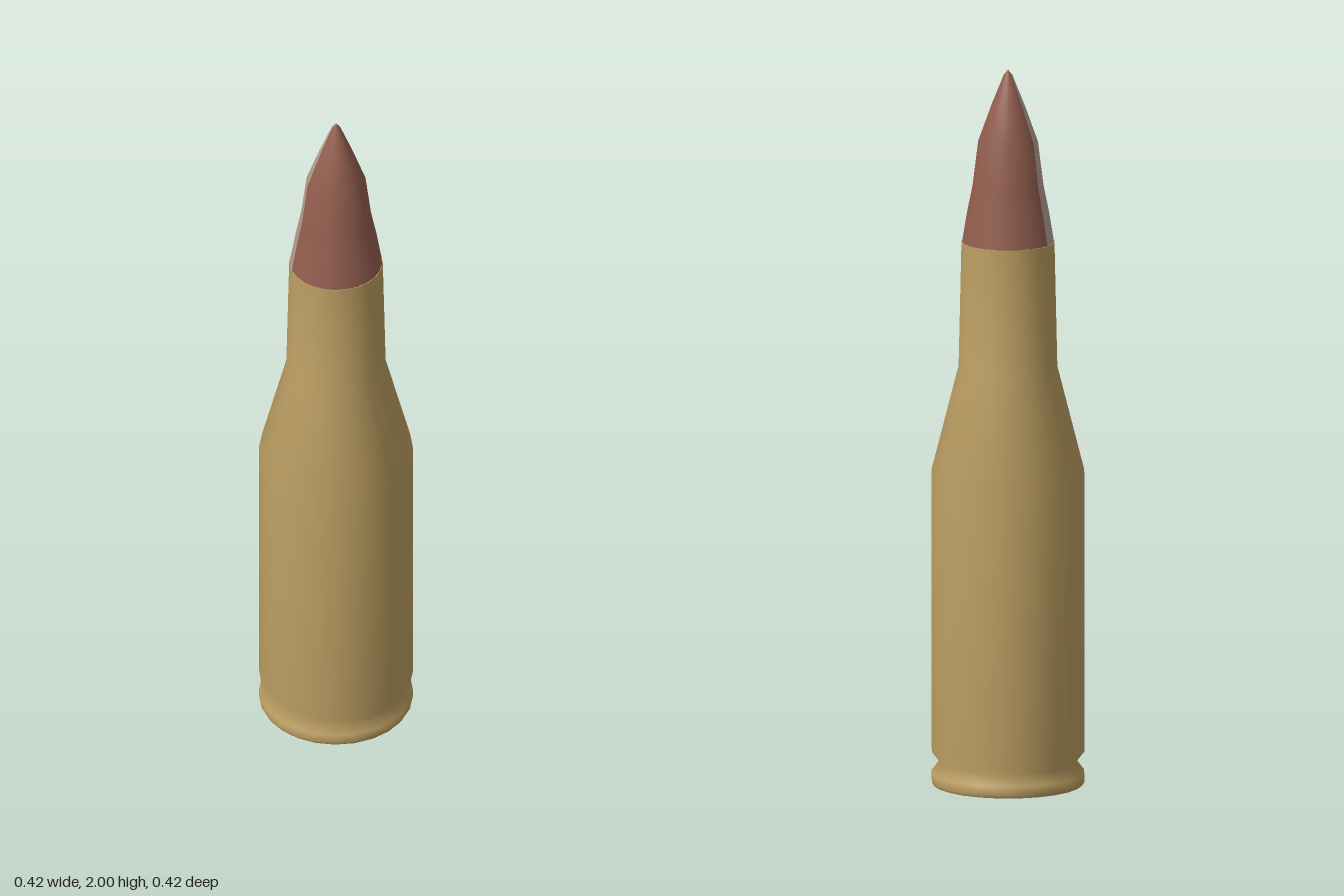
import * as THREE from 'three';

const brass = new THREE.MeshStandardMaterial({ name: 'brass', color: 0xbc9e62 });
const copper = new THREE.MeshStandardMaterial({ name: 'copper', color: 0x925e4e });
const silver = new THREE.MeshStandardMaterial({ name: 'pale streak', color: 0xb59d92 });

const rad = THREE.MathUtils.degToRad;

// Turned part: [radius, height] pairs from bottom to top, swept from one angle to another
function turned(name, profile, material, segments = 24, from = 0, to = 360) {
  const points = profile.map(([r, y]) => new THREE.Vector2(r, y));
  const mesh = new THREE.Mesh(
    new THREE.LatheGeometry(points, segments, rad(from), rad(to - from)), material);
  mesh.name = name;
  return mesh;
}

export function createModel() {
  const model = new THREE.Group();
  model.name = 'cartridge';

  // Case with rim, extractor groove, body, shoulder and neck
  model.add(turned('case', [
    [0.205, 0.006], [0.21, 0.015], [0.21, 0.04], [0.187, 0.07], [0.21, 0.1],
    [0.21, 0.88], [0.136, 1.17], [0.128, 1.52],
  ], brass));

  // Flat underside of the case and lip of the neck
  model.add(turned('caseBase', [[0, 0.006], [0.205, 0.006]], brass));
  model.add(turned('neckLip', [[0.128, 1.52], [0.12, 1.521]], brass));

  // Primer, slightly proud of the base
  model.add(turned('primerFace', [[0, 0], [0.108, 0]], copper));
  model.add(turned('primerEdge', [[0.108, 0], [0.108, 0.006]], copper));

  // Bullet, with a pale streak along the front right
  const bullet = [
    [0.127, 1.515], [0.113, 1.6], [0.097, 1.68], [0.082, 1.8],
    [0.046, 1.9], [0.012, 1.985], [0, 2],
  ];
  model.add(turned('bullet', bullet, copper, 22, -27, 290));
  model.add(turned('bulletStreak', bullet, silver, 3, -70, -27));

  return model;
}
